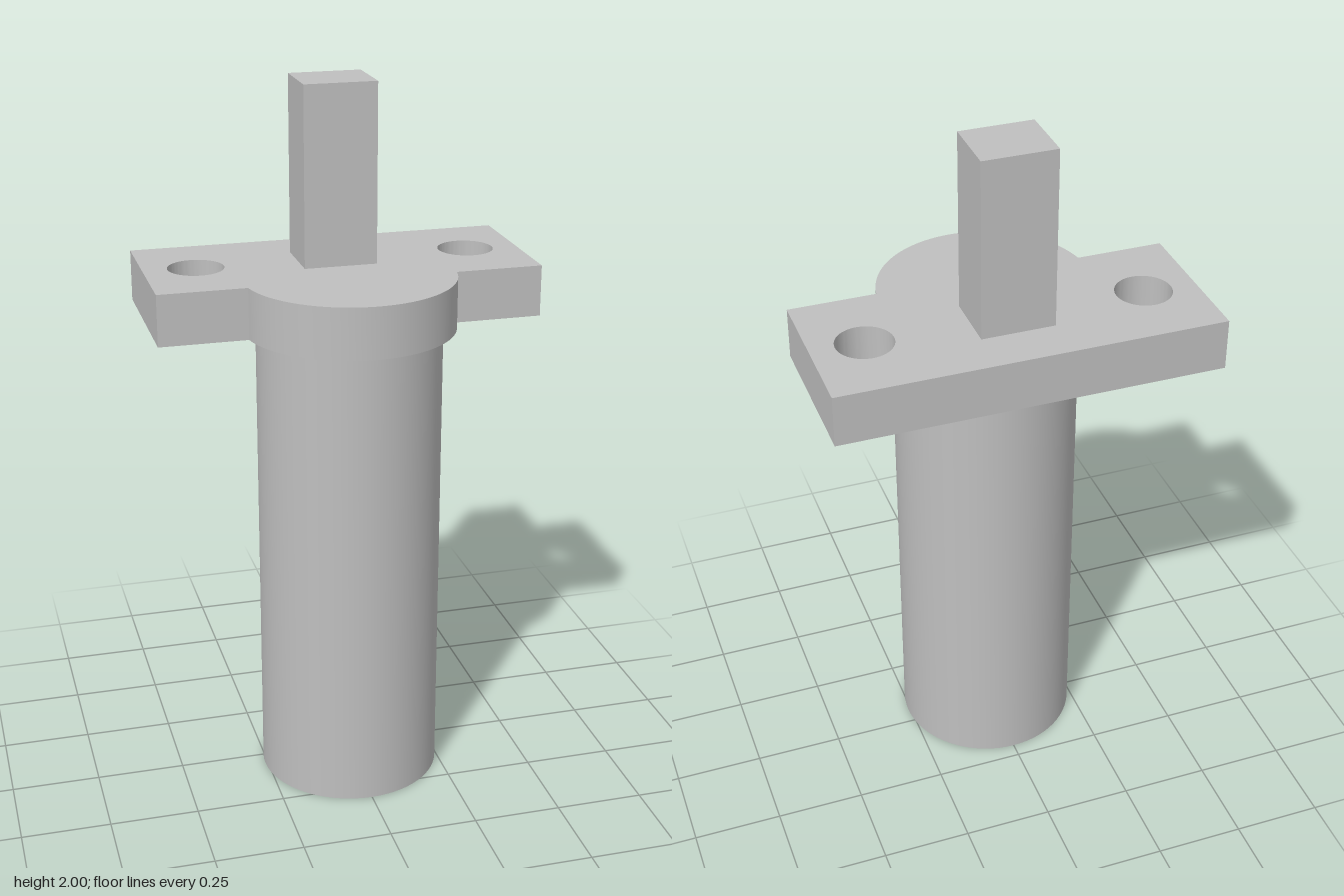
import * as THREE from 'three';
import { toCreasedNormals } from 'three/addons/utils/BufferGeometryUtils.js';

const AXIS_Z = 0.05; // centre of the round body
const PLATE_BOTTOM = 1.35, PLATE_TOP = 1.495;

export function createModel() {
  const group = new THREE.Group();
  const grey = new THREE.MeshStandardMaterial({ color: 0xbfbfbf });
  grey.name = 'plain grey';

  const add = (name, geometry, x = 0, y = 0, z = 0) => {
    const mesh = new THREE.Mesh(geometry, grey);
    mesh.name = name;
    mesh.position.set(x, y, z);
    group.add(mesh);
  };

  // Hollow cylindrical body, open at the bottom
  const profile = [[0.145, PLATE_BOTTOM], [0.145, 0], [0.258, 0], [0.258, PLATE_BOTTOM]]
    .map(([r, y]) => new THREE.Vector2(r, y));
  add('tubeBody', toCreasedNormals(new THREE.LatheGeometry(profile, 72), 0.5), 0, 0, AXIS_Z);

  // Mounting plate with a rounded front, drawn with shape y = -z
  const radius = 0.295, halfWidth = 0.538, front = -0.098, back = 0.347;
  const dip = Math.asin((front + AXIS_Z) / radius);
  const plate = new THREE.Shape();
  plate.moveTo(halfWidth, back);
  plate.lineTo(-halfWidth, back);
  plate.lineTo(-halfWidth, front);
  plate.lineTo(-radius * Math.cos(dip), front);
  plate.absarc(0, -AXIS_Z, radius, Math.PI - dip, 2 * Math.PI + dip, false);
  plate.lineTo(halfWidth, front);
  plate.closePath();

  // Screw holes
  for (const side of [-1, 1]) {
    const hole = new THREE.Path();
    hole.absarc(side * 0.39, 0.127, 0.079, 0, Math.PI * 2, true);
    plate.holes.push(hole);
  }
  const plateGeometry = new THREE.ExtrudeGeometry(plate, {
    depth: PLATE_TOP - PLATE_BOTTOM, bevelEnabled: false, curveSegments: 40,
  });
  plateGeometry.rotateX(-Math.PI / 2);
  add('mountingPlate', toCreasedNormals(plateGeometry, 0.5), 0, PLATE_BOTTOM, 0);

  // Rectangular post on top
  const height = 2 - PLATE_TOP;
  add('topPost', new THREE.BoxGeometry(0.206, height, 0.177), 0, PLATE_TOP + height / 2, -0.126);

  return group;
}
